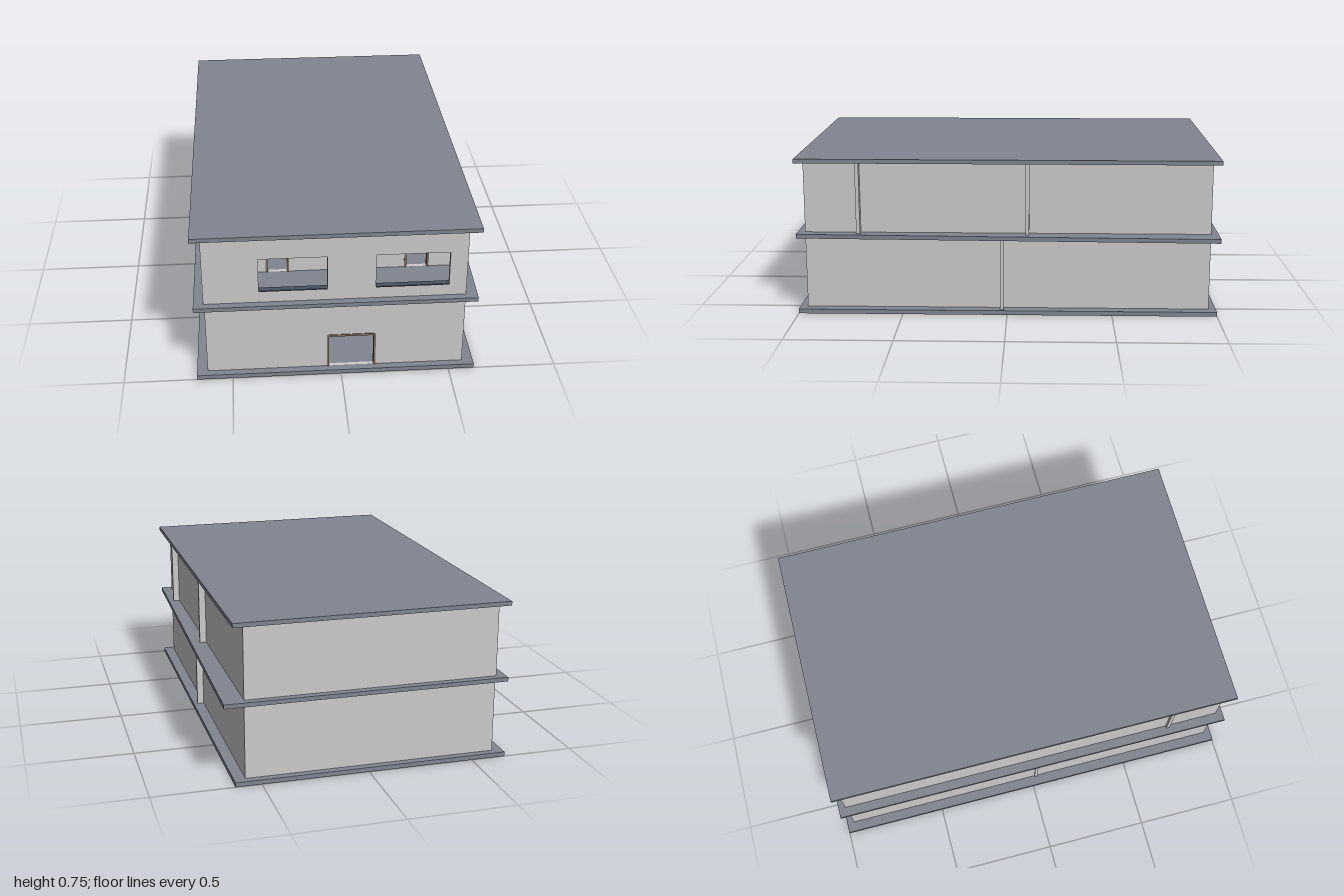
import * as THREE from 'three';

const material = (color) => new THREE.MeshStandardMaterial({ color, side: THREE.DoubleSide });

export function createModel() {
  const model = new THREE.Group();
  const wallMat = material(0xcccccc);
  const slabMat = material(0x808591);
  const frameMat = material(0x80705c);
  const sillMat = material(0x4a5262);
  const T = 0.018; // wall thickness

  // Box given by its minimum and maximum corners
  function box(name, mat, [x0, y0, z0], [x1, y1, z1]) {
    const mesh = new THREE.Mesh(new THREE.BoxGeometry(x1 - x0, y1 - y0, z1 - z0), mat);
    mesh.position.set((x0 + x1) / 2, (y0 + y1) / 2, (z0 + z1) / 2);
    mesh.name = name;
    model.add(mesh);
  }

  // Upright wall across x with rectangular openings [x0, x1, y0, y1]
  function piercedWall(name, x0, x1, y0, y1, zFront, openings) {
    const rect = (P, a, b, c, d) => {
      const p = new P();
      p.moveTo(a, c);
      p.lineTo(b, c);
      p.lineTo(b, d);
      p.lineTo(a, d);
      p.closePath();
      return p;
    };
    const shape = rect(THREE.Shape, x0, x1, y0, y1);
    for (const o of openings) shape.holes.push(rect(THREE.Path, ...o));
    const mesh = new THREE.Mesh(new THREE.ExtrudeGeometry(shape, { depth: T, bevelEnabled: false }), wallMat);
    mesh.position.z = zFront - T;
    mesh.name = name;
    model.add(mesh);
  }

  // Floor plate: the right edge may flare toward the back
  function slab(name, y, height, backX) {
    const s = new THREE.Shape();
    s.moveTo(-0.665, -1);
    s.lineTo(0.62, -1);
    s.lineTo(backX, 1);
    s.lineTo(-0.665, 1);
    s.closePath();
    const mesh = new THREE.Mesh(new THREE.ExtrudeGeometry(s, { depth: height, bevelEnabled: false }), slabMat);
    mesh.rotation.x = -Math.PI / 2;
    mesh.position.y = y;
    mesh.name = name;
    model.add(mesh);
  }

  // Door lining: two jambs and a head
  function doorFrame(name, x0, x1, y0, y1, zFront) {
    const w = 0.01, z0 = zFront - T - 0.006, z1 = zFront + 0.003;
    box(name + 'JambRight', frameMat, [x0, y0, z0], [x0 + w, y1, z1]);
    box(name + 'JambLeft', frameMat, [x1 - w, y0, z0], [x1, y1, z1]);
    box(name + 'Head', frameMat, [x0 + w, y1 - w, z0], [x1 - w, y1, z1]);
  }

  slab('groundSlab', 0, 0.021, 0.62);
  slab('middleSlab', 0.371, 0.02, 0.665);
  slab('roofSlab', 0.733, 0.02, 0.62);

  // Outer walls of both storeys
  const frontDoor = [-0.064, 0.162, 0.021, 0.196];
  const windows = [[-0.37, -0.062, 0.453, 0.616], [0.157, 0.488, 0.453, 0.616]];
  const storeys = [
    { name: 'ground', x0: -0.616, y0: 0.021, y1: 0.371, openings: [[-0.064, 0.162, 0.0211, 0.196]] },
    { name: 'upper', x0: -0.62, y0: 0.391, y1: 0.733, openings: windows },
  ];
  for (const { name, x0, y0, y1, openings } of storeys) {
    const x1 = 0.568;
    piercedWall(name + 'FrontWall', x0, x1, y0, y1, 0.965, openings);
    box(name + 'BackWall', wallMat, [x0, y0, -0.965], [x1, y1, -0.965 + T]);
    box(name + 'RightWall', wallMat, [x0, y0, -0.965 + T], [x0 + T, y1, 0.965 - T]);
    box(name + 'LeftWall', wallMat, [x1 - T, y0, -0.965 + T], [x1, y1, 0.965 - T]);
  }

  // Inner partitions, whose ends stand proud of the side walls
  const innerDoors = [[-0.333, -0.223, 0.3911, 0.568], [0.317, 0.433, 0.3911, 0.568]];
  piercedWall('upperFrontPartition', -0.633, 0.6, 0.391, 0.733, 0.716, innerDoors);
  box('upperRearPartition', wallMat, [-0.61, 0.391, -0.104], [0.6, 0.733, -0.086]);
  box('groundPartition', wallMat, [-0.621, 0.021, 0.018], [0.6, 0.371, 0.034]);

  // Door linings and window sills
  doorFrame('frontDoor', ...frontDoor, 0.965);
  innerDoors.forEach((d, i) => doorFrame('innerDoor' + (i + 1), ...d, 0.716));
  windows.forEach(([x0, x1, y], i) =>
    box('windowSill' + (i + 1), sillMat, [x0, y - 0.001, 0.965 - T], [x1, y + 0.004, 0.975]));

  return model;
}
